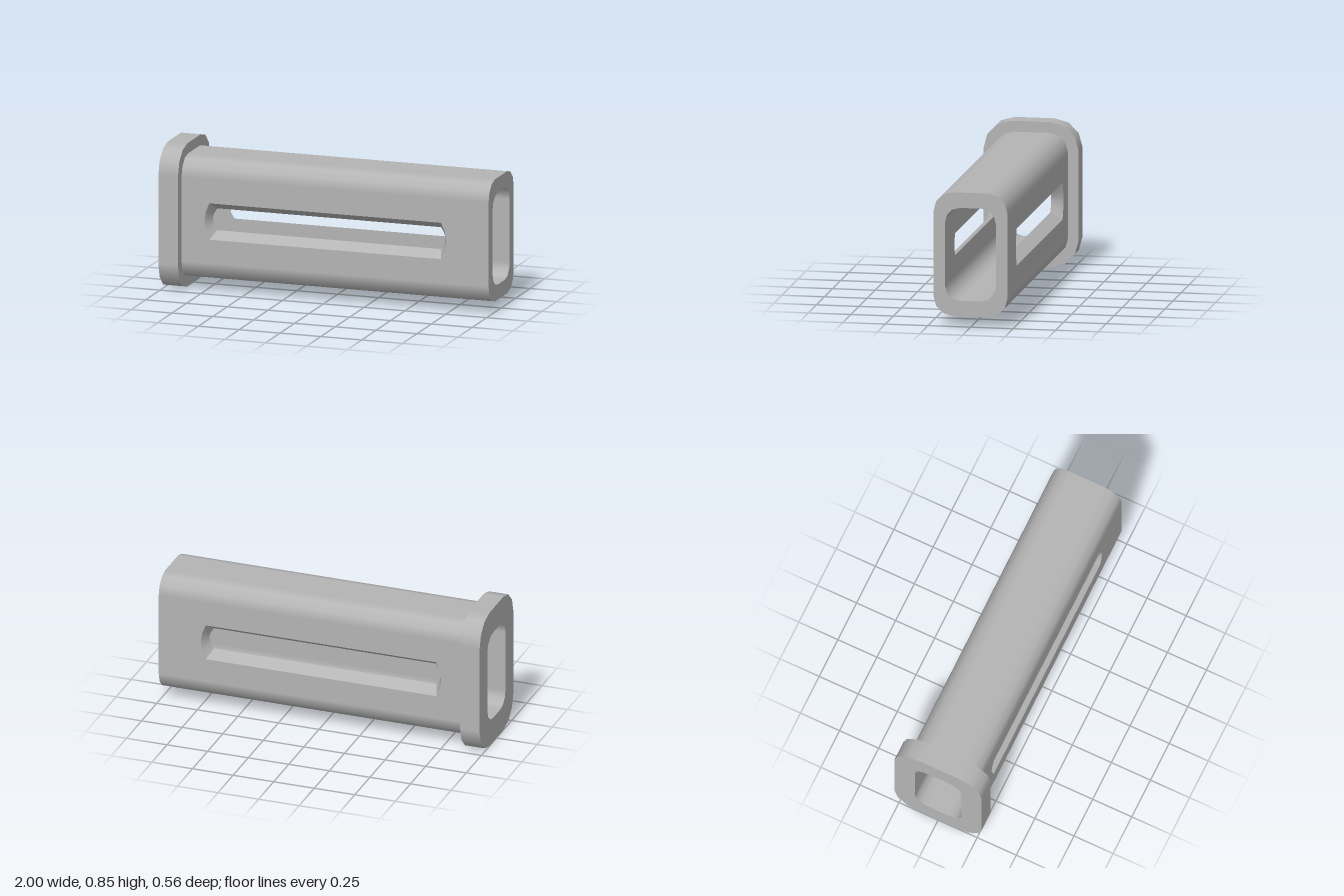
import * as THREE from 'three';
import { mergeGeometries, toCreasedNormals } from 'three/addons/utils/BufferGeometryUtils.js';

const CY = 0.426; // height of the long axis
const FLANGE = { z: 0.279, y: 0.426, r: 0.163 };
const OUTER = { z: 0.217, y: 0.363, r: 0.112 };
const BORE = { z: 0.149, y: 0.273, r: 0.086 };
const END = 1, STEP = -0.88;

// Rounded rectangle with three facets per corner: points and normals in (z, y)
function section({ z, y, r }) {
  const pts = [];
  for (let k = 0; k < 4; k++) {
    const sz = k === 0 || k === 3 ? 1 : -1, sy = k < 2 ? 1 : -1;
    for (let i = 0; i < 4; i++) {
      const a = (k + i / 3) * Math.PI / 2, c = Math.cos(a), s = Math.sin(a);
      pts.push({ z: sz * (z - r) + r * c, y: CY + sy * (y - r) + r * s, nz: c, ny: s });
    }
  }
  return pts;
}

// Smooth wall along x; can leave out the two flat sides or face inwards
function wall(size, x0, x1, openSides, inward) {
  const pts = section(size), pos = [], nor = [], f = inward ? -1 : 1;
  pts.forEach((p, i) => {
    if (openSides && i % 8 === 7) return;
    const q = pts[(i + 1) % pts.length];
    const quad = [[x0, p], [x1, p], [x1, q], [x0, q]];
    if (inward) quad.reverse();
    for (const j of [0, 1, 2, 0, 2, 3]) {
      const [x, v] = quad[j];
      pos.push(x, v.y, v.z);
      nor.push(0, f * v.ny, f * v.nz);
    }
  });
  const g = new THREE.BufferGeometry();
  g.setAttribute('position', new THREE.Float32BufferAttribute(pos, 3));
  g.setAttribute('normal', new THREE.Float32BufferAttribute(nor, 3));
  return g;
}

function flat(outline, hole) {
  const s = new THREE.Shape(outline);
  s.holes.push(new THREE.Path(hole));
  const g = new THREE.ShapeGeometry(s).toNonIndexed();
  g.deleteAttribute('uv');
  return g;
}

// Ring-shaped end face; dir is the x direction it faces
function ring(big, small, x, dir) {
  const loop = (s) => section(s).map((p) => new THREE.Vector2(p.z, p.y));
  return flat(loop(big), loop(small)).rotateY(dir * Math.PI / 2).translate(x, 0, 0);
}

// Slot outline with shallow curved ends
function slotLoop(xs, h) {
  const right = [[xs[0], -h], [xs[1], -h / 2], [xs[2], 0], [xs[1], h / 2], [xs[0], h]];
  return [...right, ...right.map(([x, y]) => [-x, -y])].map(([x, y]) => new THREE.Vector2(x, CY - 0.002 + y));
}
const SLOT_OUT = slotLoop([0.71, 0.732, 0.74], 0.108);
const SLOT_IN = slotLoop([0.685, 0.705, 0.713], 0.065);

// Flat side plate with a slot in it
function plate(size, x0, x1, slot) {
  const h = size.y - size.r;
  return flat([[x0, -h], [x1, -h], [x1, h], [x0, h]].map(([x, y]) => new THREE.Vector2(x, CY + y)), slot);
}

// Tapered faces through the thickness of the side wall
function slotFaces() {
  const pos = [];
  SLOT_OUT.forEach((p, i) => {
    const j = (i + 1) % SLOT_OUT.length;
    const quad = [[p, OUTER.z], [SLOT_OUT[j], OUTER.z], [SLOT_IN[j], BORE.z], [SLOT_IN[i], BORE.z]];
    for (const k of [0, 1, 2, 0, 2, 3]) pos.push(quad[k][0].x, quad[k][0].y, quad[k][1]);
  });
  const g = new THREE.BufferGeometry();
  g.setAttribute('position', new THREE.Float32BufferAttribute(pos, 3));
  return toCreasedNormals(g, 0.6);
}

export function createModel() {
  const group = new THREE.Group();
  const grey = new THREE.MeshStandardMaterial({ color: 0xb4b4b4 });
  grey.name = 'grey';
  const add = (name, parts) => {
    const mesh = new THREE.Mesh(mergeGeometries(parts), grey);
    mesh.name = name;
    group.add(mesh);
  };

  // Hollow sleeve, outside
  add('sleeveOuter', [
    wall(OUTER, STEP, END, true, false),
    plate(OUTER, STEP, END, SLOT_OUT).translate(0, 0, OUTER.z),
    plate(OUTER, -END, -STEP, SLOT_OUT).rotateY(Math.PI).translate(0, 0, -OUTER.z),
    ring(OUTER, BORE, END, 1),
  ]);

  // Bore running the full length
  add('sleeveBore', [
    wall(BORE, -1, END, true, true),
    plate(BORE, -1, END, SLOT_IN).rotateY(Math.PI).translate(0, 0, BORE.z),
    plate(BORE, -1, END, SLOT_IN).translate(0, 0, -BORE.z),
  ]);

  // Slots through both side walls
  add('frontSlot', [slotFaces()]);
  add('backSlot', [slotFaces().rotateY(Math.PI)]);

  // Collar at the right end
  add('collar', [
    wall(FLANGE, -1, STEP, false, false),
    ring(FLANGE, OUTER, STEP, 1),
    ring(FLANGE, BORE, -1, -1),
  ]);
  return group;
}
